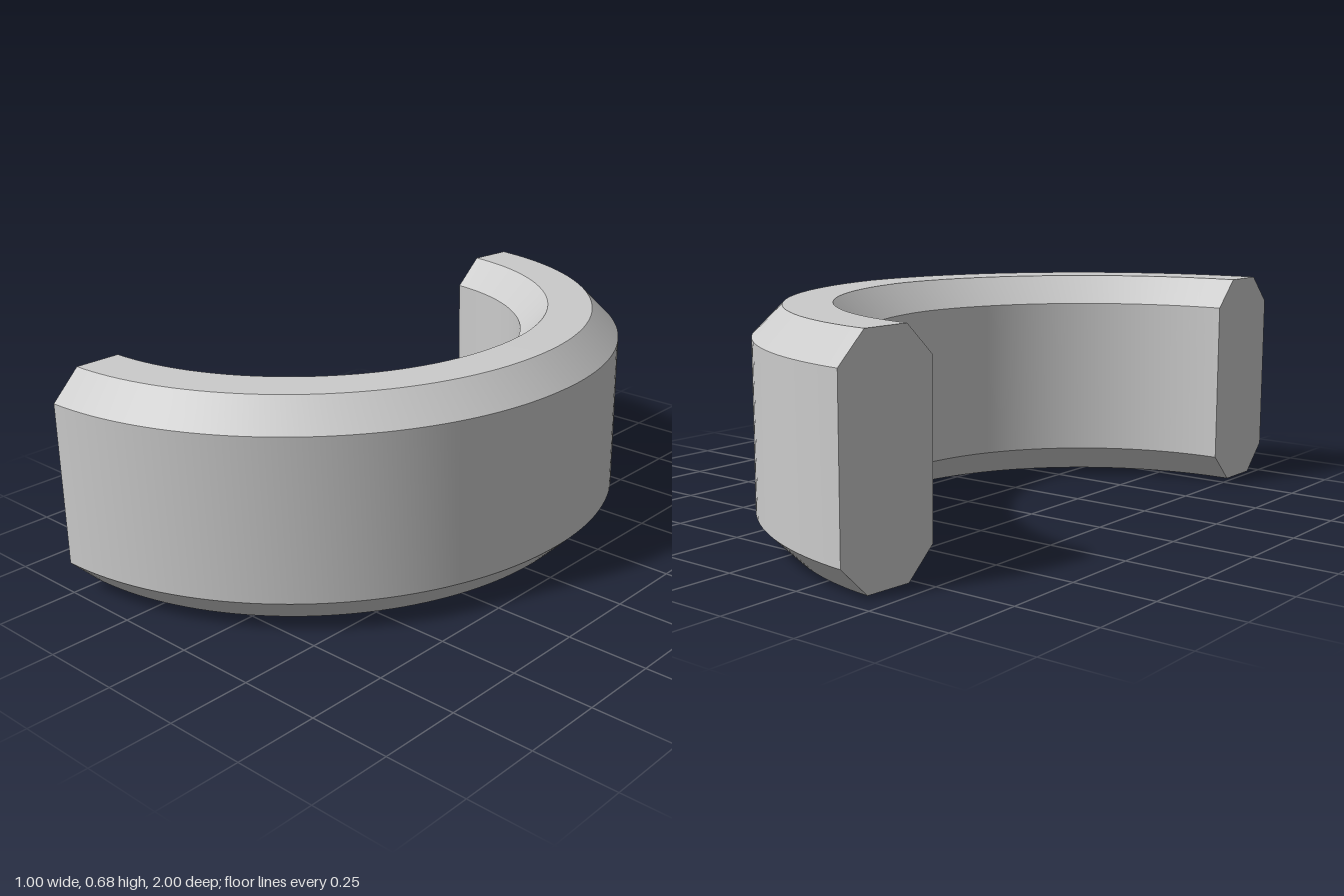
import * as THREE from 'three';
import { toCreasedNormals } from 'three/addons/utils/BufferGeometryUtils.js';

const R_IN = 0.687, R_OUT = 1.003, CHAMFER = 0.087;
const BOTTOM = 0.011, TOP = 0.682;
const SWEEP = THREE.MathUtils.degToRad(174.6);

// The rear half of the ring sinks slightly towards its free end
function sinkRear(geometry) {
  const p = geometry.attributes.position;
  for (let i = 0; i < p.count; i++) {
    p.setY(i, p.getY(i) + 0.011 * Math.min(0, p.getZ(i)));
  }
  return toCreasedNormals(geometry, Math.PI / 6);
}

export function createModel() {
  const group = new THREE.Group();
  group.name = 'splitRing';
  const material = new THREE.MeshStandardMaterial({ color: 0xcccccc });

  // Chamfered rectangular section, counter-clockwise in (radius, height)
  const section = [
    [R_IN + CHAMFER, BOTTOM], [R_OUT - CHAMFER, BOTTOM],
    [R_OUT, BOTTOM + CHAMFER], [R_OUT, TOP - CHAMFER],
    [R_OUT - CHAMFER, TOP], [R_IN + CHAMFER, TOP],
    [R_IN, TOP - CHAMFER], [R_IN, BOTTOM + CHAMFER],
  ].map(([r, y]) => new THREE.Vector2(r, y));

  const add = (name, geometry) => {
    const mesh = new THREE.Mesh(sinkRear(geometry), material);
    mesh.name = name;
    mesh.position.set(-R_OUT / 2, 0, -0.002);
    group.add(mesh);
  };

  // Ring body
  add('ringBody', new THREE.LatheGeometry([...section, section[0].clone()], 80, 0, SWEEP));

  // Flat end faces; the rear one uses the mirrored section so it faces outwards
  add('frontEndFace', new THREE.ShapeGeometry(new THREE.Shape(section)).rotateY(-Math.PI / 2));
  const mirrored = section.map((p) => new THREE.Vector2(-p.x, p.y)).reverse();
  add('rearEndFace', new THREE.ShapeGeometry(new THREE.Shape(mirrored)).rotateY(SWEEP + Math.PI / 2));

  return group;
}
